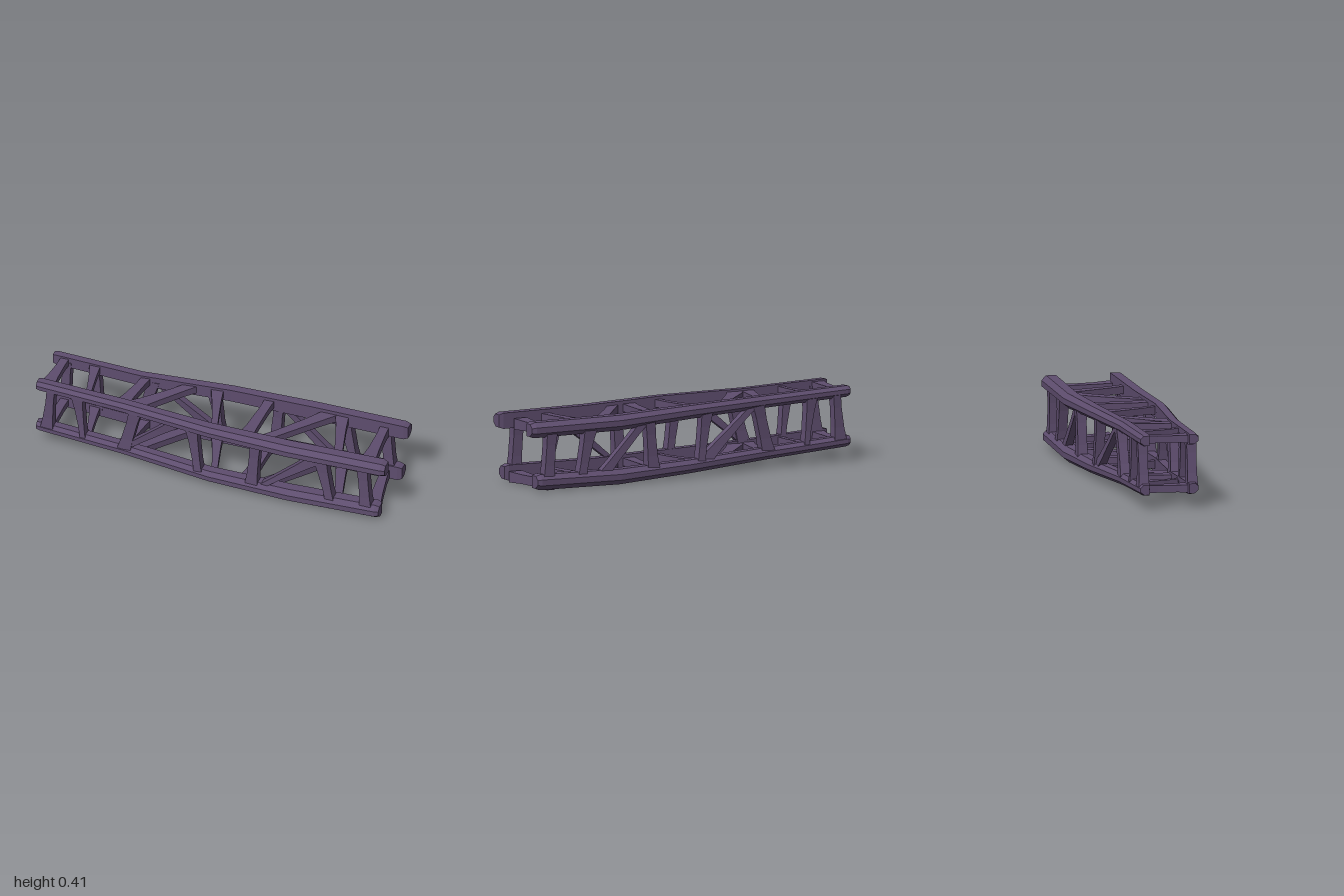
import * as THREE from 'three';

const material = new THREE.MeshStandardMaterial({ color: 0x5e4d6e, flatShading: true });

// Rail centres along the beam: x, top y, bottom y, front z, back z, half thickness
const stations = [
  [-1, 0.39, 0.12, 0.16, -0.106, 0.031],
  [-0.5, 0.372, 0.09, 0.165, -0.11, 0.033],
  [0, 0.362, 0.066, 0.2, -0.165, 0.037],
  [0.45, 0.345, 0.051, 0.19, -0.196, 0.042],
  [1, 0.345, 0.06, 0.173, -0.199, 0.043],
];

// Interpolated rail centre at x
function railAt(x, top, front) {
  let i = 0;
  while (i < stations.length - 2 && x > stations[i + 1][0]) i++;
  const a = stations[i], b = stations[i + 1], t = (x - a[0]) / (b[0] - a[0]);
  const mix = (k) => a[k] + (b[k] - a[k]) * t;
  return { p: new THREE.Vector3(x, mix(top ? 1 : 2), mix(front ? 3 : 4)), r: mix(5) };
}

// Closed solid through rings that wind counter-clockwise about the travel direction
function loft(name, rings) {
  const n = rings[0].length, index = [];
  for (let s = 0; s < rings.length - 1; s++) {
    for (let i = 0; i < n; i++) {
      const a = s * n + i, b = s * n + (i + 1) % n;
      index.push(a, b, b + n, a, b + n, a + n);
    }
  }
  const e = (rings.length - 1) * n;
  for (let i = 1; i < n - 1; i++) index.push(0, i + 1, i, e, e + i, e + i + 1);
  const g = new THREE.BufferGeometry().setFromPoints(rings.flat());
  g.setIndex(index);
  g.computeVertexNormals();
  const mesh = new THREE.Mesh(g, material);
  mesh.name = name;
  return mesh;
}

// Rail with a square inner side and chamfered outer side; pairs are y, outward z
const profile = [[1, -0.85], [1, 0.4], [0.4, 1], [-0.35, 1], [-1, 0.2], [-1, -0.85]];
function rail(name, top, front) {
  const end = top ? 1 : 0.965;
  const cuts = [[-1, 0.85], [-0.98, 1], [-0.5, 1], [0, 1], [0.45, 1], [end - 0.025, 1], [end, 0.8]];
  const rings = cuts.map(([x, k]) => {
    const { p, r } = railAt(x, top, front);
    const ring = profile.map(([y, z]) =>
      new THREE.Vector3(x, p.y + y * r * k, p.z + z * r * k * (front ? 1 : -1)));
    return front ? ring : ring.reverse();
  });
  return loft(name, rings);
}

// Tapered bar, slightly waisted; widths run along x and depth along the given axis
function strut(name, a, b, wa, wb, depth, axis) {
  const dir = b.clone().sub(a);
  const u = new THREE.Vector3(Math.sign(axis.clone().cross(dir).x), 0, 0);
  const rings = [[0, wa, 1], [0.3, wa * 0.62 + wb * 0.22, 0.85],
    [0.7, wa * 0.22 + wb * 0.62, 0.85], [1, wb, 1]].map(([t, w, k]) => {
    const c = a.clone().lerp(b, t);
    return [[1, 1], [-1, 1], [-1, -1], [1, -1]].map(([i, j]) =>
      c.clone().addScaledVector(u, i * w / 2).addScaledVector(axis, j * depth * k / 2));
  });
  return loft(name, rings);
}

// Uprights: bottom x, top x, bottom width, top width
const uprights = [
  [-0.94, -0.915, 0.075, 0.045], [-0.73, -0.765, 0.03, 0.065],
  [-0.5, -0.43, 0.08, 0.07], [-0.06, -0.1, 0.045, 0.07],
  [0.24, 0.265, 0.075, 0.06], [0.69, 0.63, 0.05, 0.08], [0.89, 0.87, 0.07, 0.065],
];
const braces = {
  front: [[-0.52, -0.19, 0.05, 0.09], [0.27, 0.63, 0.04, 0.11]],
  back: [[-0.06, -0.42, 0.11, 0.05], [0.57, 0.28, 0.08, 0.06]],
};
// Cross bars: front x, back x, front width, back width
const crossBars = [
  [-0.945, -0.93, 0.08, 0.045], [-0.71, -0.765, 0.03, 0.065],
  [-0.52, -0.465, 0.08, 0.05], [-0.47, -0.2, 0.12, 0.07],
  [0.025, -0.085, 0.035, 0.075], [0.195, 0.215, 0.08, 0.055],
  [0.27, 0.58, 0.07, 0.1], [0.725, 0.615, 0.05, 0.08],
];

export function createModel() {
  const model = new THREE.Group();
  model.name = 'trussBeam';
  const yAxis = new THREE.Vector3(0, 1, 0), zAxis = new THREE.Vector3(0, 0, 1);

  // Four long rails
  for (const top of [true, false]) {
    for (const front of [true, false]) {
      model.add(rail((top ? 'top' : 'bottom') + (front ? 'Front' : 'Back') + 'Rail', top, front));
    }
  }

  // Upright struts and diagonal braces on the front and back
  for (const front of [true, false]) {
    const side = front ? 'front' : 'back';
    const add = (name, depth) => ([xb, xt, wb, wt]) => model.add(strut(side + name,
      railAt(xb, false, front).p, railAt(xt, true, front).p, wb, wt, depth, zAxis));
    uprights.forEach(add('Upright', 0.06));
    braces[side].forEach(add('Brace', 0.045));
  }

  // Cross bars on the top and bottom
  for (const top of [true, false]) {
    const level = top ? 'top' : 'bottom';
    for (const [xf, xb, wf, wb] of crossBars) {
      model.add(strut(level + 'CrossBar', railAt(xf, top, true).p, railAt(xb, top, false).p,
        wf, wb, 0.045, yAxis));
    }
    // End bar stops just short of the front rail
    const a = railAt(top ? 0.88 : 0.91, top, true).p, b = railAt(0.865, top, false).p;
    a.z = 0.122;
    a.y -= 0.018;
    b.y -= 0.018;
    model.add(strut(level + 'EndBar', a, b, 0.08, 0.05, 0.06, yAxis));
  }
  return model;
}
